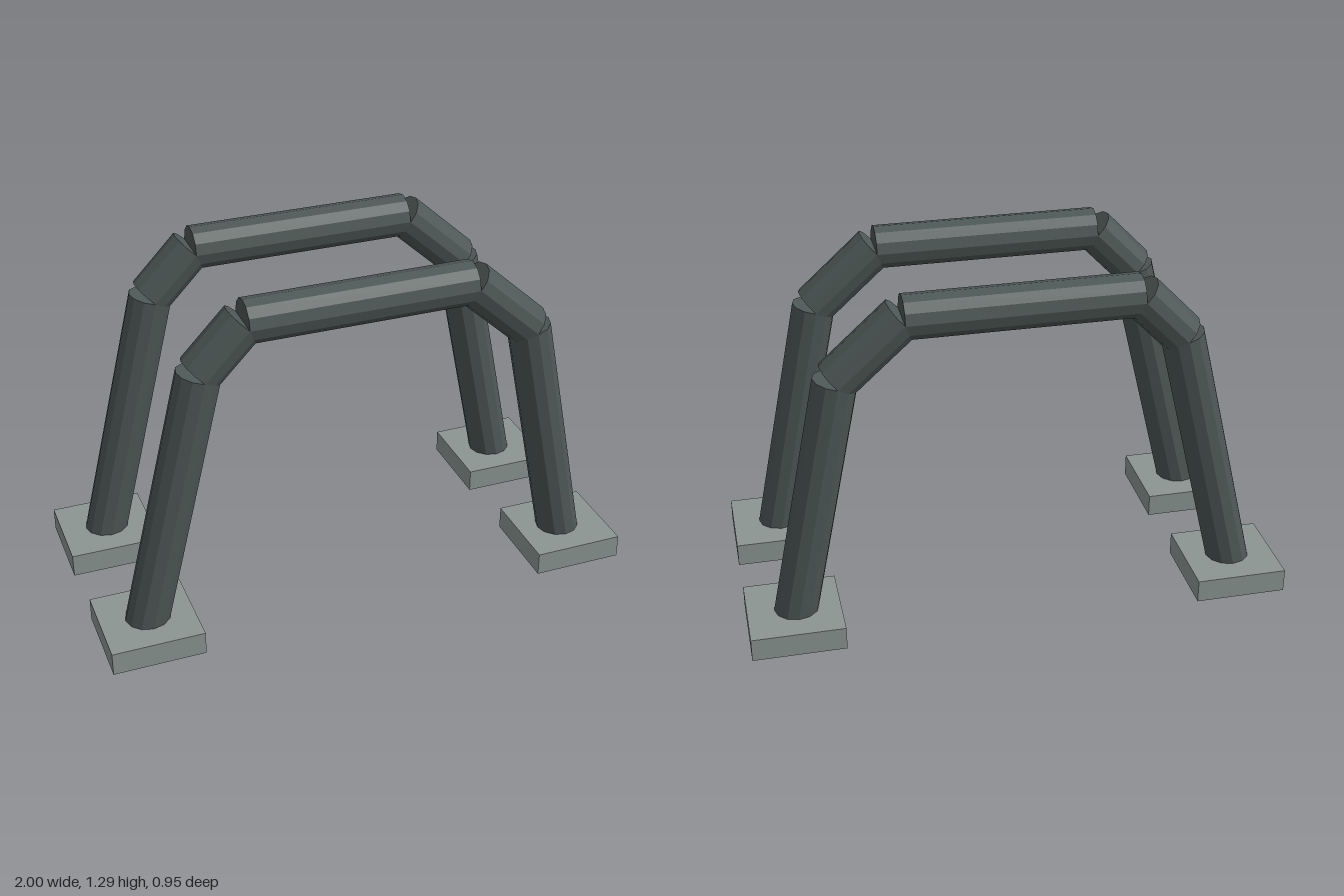
import * as THREE from 'three';

const tubeMat = new THREE.MeshStandardMaterial({ color: 0x4d5755, flatShading: true });
tubeMat.name = 'dark grey tube';
const baseMat = new THREE.MeshStandardMaterial({ color: 0x8b9592, flatShading: true });
baseMat.name = 'light grey foot';

const RADIUS = 0.08;
const UP = new THREE.Vector3(0, 1, 0);

// Straight capped tube between two points of the hoop
function tube(name, a, b) {
  const from = new THREE.Vector3(a[0], a[1], 0);
  const to = new THREE.Vector3(b[0], b[1], 0);
  const dir = to.clone().sub(from);
  const mesh = new THREE.Mesh(new THREE.CylinderGeometry(RADIUS, RADIUS, dir.length(), 12), tubeMat);
  mesh.position.copy(from).add(to).multiplyScalar(0.5);
  mesh.quaternion.setFromUnitVectors(UP, dir.normalize());
  mesh.name = name;
  return mesh;
}

// One bent hoop standing on two square feet
function createHoop() {
  const hoop = new THREE.Group();
  const path = [[-0.835, 0.05], [-0.595, 1.043], [-0.434, 1.21], [0.4, 1.21], [0.635, 0.997], [0.827, 0.05]];
  const names = ['rightLeg', 'rightElbow', 'topBar', 'leftElbow', 'leftLeg'];
  names.forEach((name, i) => hoop.add(tube(name, path[i], path[i + 1])));
  for (const side of [-1, 1]) {
    const foot = new THREE.Mesh(new THREE.BoxGeometry(0.34, 0.088, 0.336), baseMat);
    foot.position.set(side * 0.83, 0.044, 0);
    foot.name = side < 0 ? 'rightFoot' : 'leftFoot';
    hoop.add(foot);
  }
  return hoop;
}

export function createModel() {
  const model = new THREE.Group();
  model.name = 'doubleHoopRail';
  for (const side of [1, -1]) {
    const hoop = createHoop();
    hoop.name = side > 0 ? 'frontHoop' : 'backHoop';
    hoop.position.z = side * 0.308;
    model.add(hoop);
  }
  return model;
}
